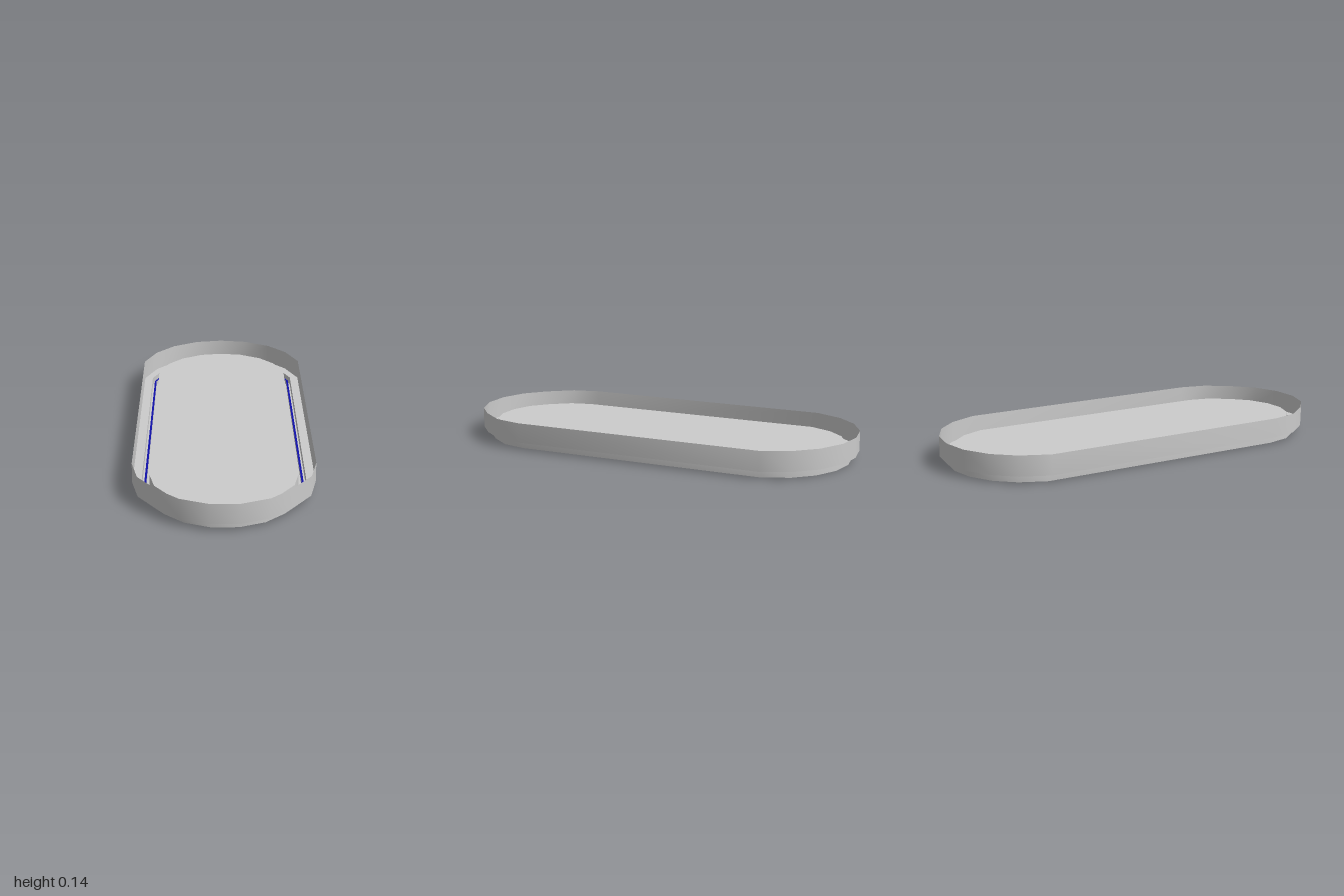
import * as THREE from 'three';
import { toCreasedNormals } from 'three/addons/utils/BufferGeometryUtils.js';

// Half-width of the rim and the centres of the two rounded ends
const RIM = 0.425, BACK = -0.66, FRONT = 0.61;

// Right half of the rim outline [x, z], from the front end to the back end
const HALF = [
  [0.07, 1], [0.2, 0.952], [0.3, 0.864], [0.393, 0.742], [0.425, 0.605],
  [0.425, -0.672], [0.363, -0.81], [0.27, -0.91], [0.139, -0.979],
];
const OUTLINE = [
  ...HALF, [0, -1],
  ...HALF.slice().reverse().map(([x, z]) => [-x, z]),
];

// The outline at a given half-width, each end shrunk about its own centre
function ring(halfWidth) {
  const k = halfWidth / RIM;
  return OUTLINE.map(([x, z]) => {
    const c = z > 0 ? FRONT : BACK;
    return [x * k, c + (z - c) * k];
  });
}

// Sweeps a profile of [halfWidth, y] points around the outline
function sweep(profile) {
  const pos = [];
  const n = OUTLINE.length;
  for (let s = 0; s + 1 < profile.length; s++) {
    const [w0, y0] = profile[s], [w1, y1] = profile[s + 1];
    const r0 = ring(w0), r1 = ring(w1);
    for (let i = 0; i < n; i++) {
      const j = (i + 1) % n;
      const a = [r0[i][0], y0, r0[i][1]], b = [r1[i][0], y1, r1[i][1]];
      const c = [r1[j][0], y1, r1[j][1]], d = [r0[j][0], y0, r0[j][1]];
      pos.push(...a, ...b, ...c, ...a, ...c, ...d);
    }
  }
  const geo = new THREE.BufferGeometry();
  geo.setAttribute('position', new THREE.Float32BufferAttribute(pos, 3));
  return toCreasedNormals(geo, 0.7);
}

function part(name, geometry, color = 0xcccccc) {
  const material = new THREE.MeshStandardMaterial({ color, side: THREE.DoubleSide });
  const mesh = new THREE.Mesh(geometry, material);
  mesh.name = name;
  return mesh;
}

export function createModel() {
  const group = new THREE.Group();
  group.name = 'tray';

  // Thin outer wall, step and lower skirt
  group.add(part('outerRim', sweep([
    [RIM, 0.137], [RIM, 0.038], [0.383, 0.038], [0.383, 0], [0.372, 0], [0.372, 0.02],
  ])));

  // Coloured strip at the bottom of the narrow groove
  group.add(part('grooveStrip', sweep([[0.372, 0.02], [0.362, 0.02]]), 0x1010aa));

  // Inner wall carrying the raised plate
  group.add(part('innerWall', sweep([
    [0.362, 0.02], [0.362, 0], [0.345, 0], [0.345, 0.08],
  ])));

  // Raised flat plate
  const shape = new THREE.Shape(ring(0.345).map(([x, z]) => new THREE.Vector2(x, -z)));
  const plate = new THREE.ShapeGeometry(shape).rotateX(-Math.PI / 2).translate(0, 0.08, 0);
  group.add(part('plate', plate));

  return group;
}
